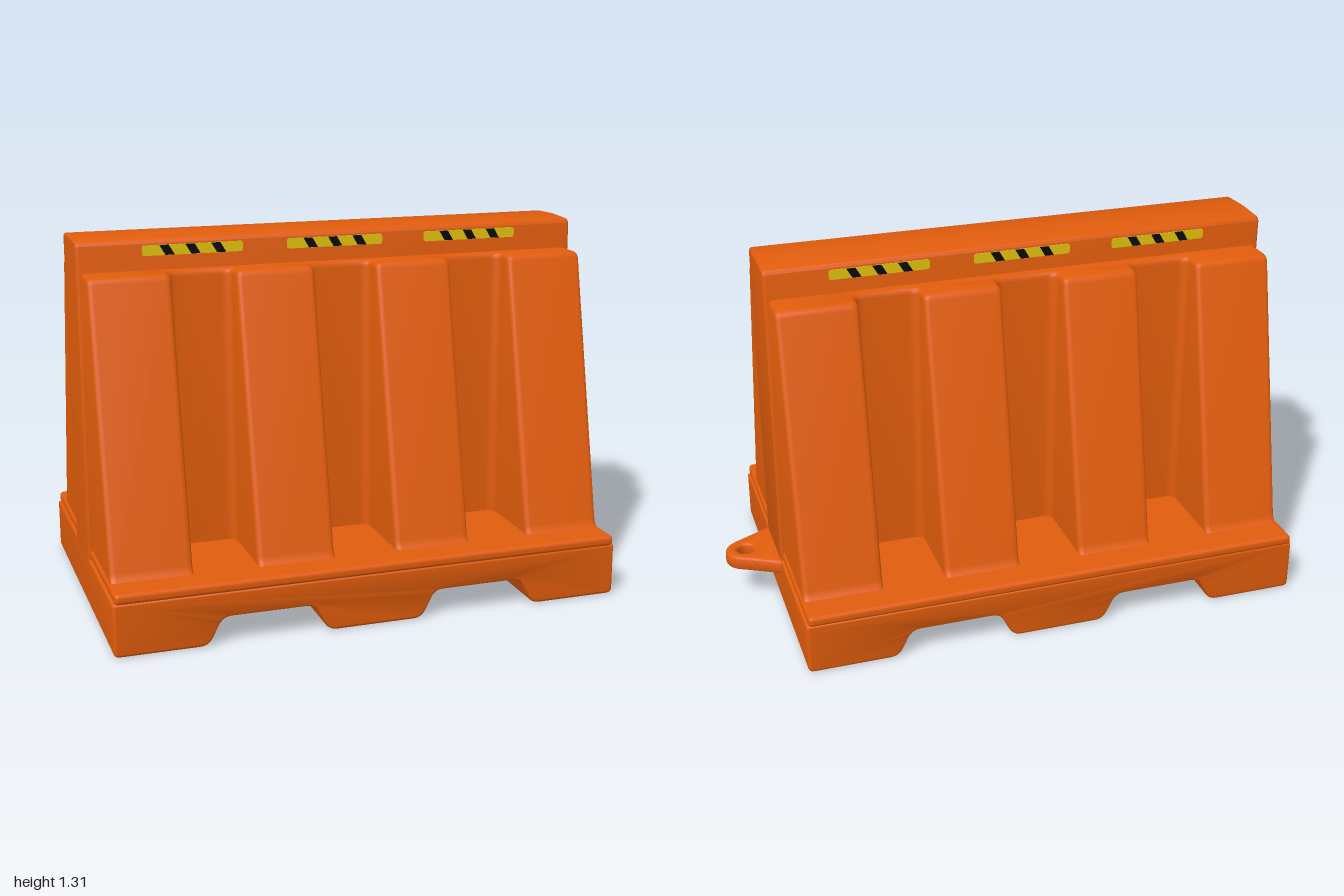
import * as THREE from 'three';
import { toCreasedNormals } from 'three/addons/utils/BufferGeometryUtils.js';
import { RoundedBoxGeometry } from 'three/addons/geometries/RoundedBoxGeometry.js';

const orange = new THREE.MeshStandardMaterial({ name: 'orange plastic', color: 0xe05c0c });
const yellow = new THREE.MeshStandardMaterial({ name: 'yellow tape', color: 0xe2c40e });
const black = new THREE.MeshStandardMaterial({ name: 'black tape', color: 0x0a0a0a });

function mesh(name, geometry, material) {
  const m = new THREE.Mesh(geometry, material);
  m.name = name;
  return m;
}

function polygon(points) {
  return new THREE.Shape(points.map(([x, y]) => new THREE.Vector2(x, y)));
}

// Extrusion centred on its depth, with rounded edges kept inside the outline
function softExtrude(shape, depth, bevel) {
  const g = new THREE.ExtrudeGeometry(shape, {
    depth: depth - 2 * bevel, bevelEnabled: true, bevelSize: bevel, bevelThickness: bevel,
    bevelOffset: -bevel, bevelSegments: 4, curveSegments: 20,
  });
  g.translate(0, 0, -depth / 2 + bevel);
  return toCreasedNormals(g, 0.6);
}

// Replaces each corner [x, y, radius] of a closed outline with a curve
function roundCorners(corners, steps = 6) {
  const out = [];
  corners.forEach(([x, y, r], i) => {
    const p = new THREE.Vector2(x, y);
    const toward = (c) => new THREE.Vector2(c[0], c[1]).sub(p).setLength(r).add(p);
    const curve = new THREE.QuadraticBezierCurve(
      toward(corners[(i + corners.length - 1) % corners.length]), p,
      toward(corners[(i + 1) % corners.length]));
    out.push(...curve.getPoints(steps));
  });
  return out;
}

// Horizontal section of the ribbed body: four ribs and three grooves per side
function bodySection(ribZ, inset) {
  const end = 0.895 - inset, floor = 0.17 - inset, half = 0.112 + inset;
  const front = [[-end, ribZ, 0.02]];
  for (const c of [-0.5, 0, 0.5]) {
    front.push([c - half, ribZ, 0.02], [c - half, floor, 0.035],
      [c + half, floor, 0.035], [c + half, ribZ, 0.02]);
  }
  front.push([end, ribZ, 0.02]);
  return roundCorners([...front, ...front.map(([x, z, r]) => [-x, -z, r])]);
}

function ribbedBody() {
  // height, rib reach, inset
  const levels = [[0.2, 0.5, 0], [0.222, 0.476, 0], [0.232, 0.466, 0], [0.25, 0.459, 0],
    [1.18, 0.252, 0], [1.191, 0.246, 0.002], [1.197, 0.24, 0.006], [1.2, 0.232, 0.012]];
  const sections = levels.map(([, reach, inset]) => bodySection(reach, inset));
  const n = sections[0].length, pos = [], index = [];
  sections.forEach((s, k) => s.forEach((p) => pos.push(p.x, levels[k][0], p.y)));
  for (let k = 0; k < levels.length - 1; k++) {
    for (let i = 0; i < n; i++) {
      const a = k * n + i, b = k * n + (i + 1) % n;
      index.push(a, b, b + n, a, b + n, a + n);
    }
  }
  // top cap
  const last = sections[sections.length - 1].map((p) => new THREE.Vector2(p.x, -p.y));
  const start = (levels.length - 1) * n;
  for (const [a, b, c] of THREE.ShapeUtils.triangulateShape(last, [])) {
    index.push(start + a, start + b, start + c);
  }
  const g = new THREE.BufferGeometry();
  g.setAttribute('position', new THREE.Float32BufferAttribute(pos, 3));
  g.setIndex(index);
  return toCreasedNormals(g, 0.6);
}

// Base block with two forklift tunnels running front to back
function base() {
  const corners = [[-0.91, 0.187, 0.008], [-0.91, 0, 0.02]];
  for (const c of [-0.38, 0.38]) {
    corners.push([c - 0.21, 0, 0.03], [c - 0.16, 0.097, 0.03],
      [c + 0.16, 0.097, 0.03], [c + 0.21, 0, 0.03]);
  }
  corners.push([0.91, 0, 0.02], [0.91, 0.187, 0.008]);
  return softExtrude(new THREE.Shape(roundCorners(corners)), 1.154, 0.012);
}

// Central wall with softened top edges
function spine() {
  const outline = roundCorners([[-0.13, 0.14, 0.01], [0.13, 0.14, 0.01], [0.13, 1.29, 0.004],
    [0.12, 1.305, 0.008], [0, 1.31, 0.02], [-0.12, 1.305, 0.008], [-0.13, 1.29, 0.004]]);
  return softExtrude(new THREE.Shape(outline), 1.82, 0.01).rotateY(Math.PI / 2);
}

// Coupling lug with a pin hole
function lug() {
  const s = new THREE.Shape();
  s.moveTo(0.88, -0.135);
  s.lineTo(0.915, -0.135);
  s.quadraticCurveTo(0.945, -0.115, 1.05, -0.064);
  s.absarc(1.022, 0, 0.068, -1.15, 1.15, false);
  s.quadraticCurveTo(0.945, 0.115, 0.915, 0.135);
  s.lineTo(0.88, 0.135);
  s.closePath();
  const hole = new THREE.Path();
  hole.absarc(1.017, 0, 0.03, 0, Math.PI * 2, true);
  s.holes.push(hole);
  return softExtrude(s, 0.054, 0.014).rotateX(-Math.PI / 2);
}

// Yellow strip with three slanted black bars
function tape() {
  const g = new THREE.Group();
  g.name = 'warningTape';
  const strip = roundCorners([[-0.176, -0.018, 0.01], [0.176, -0.018, 0.01],
    [0.176, 0.018, 0.01], [-0.176, 0.018, 0.01]], 4);
  const flat = (shape, depth) => new THREE.ExtrudeGeometry(shape, { depth, bevelEnabled: false });
  g.add(mesh('tapeStrip', flat(new THREE.Shape(strip), 0.003), yellow));
  for (const x of [-0.09, 0, 0.09]) {
    const bar = polygon([[x - 0.006, -0.017], [x + 0.026, -0.017], [x + 0.006, 0.017], [x - 0.026, 0.017]]);
    g.add(mesh('tapeBar', flat(bar, 0.005), black));
  }
  return g;
}

export function createModel() {
  const model = new THREE.Group();
  model.name = 'roadBarrier';
  const barrier = new THREE.Group();
  barrier.name = 'barrier';
  barrier.position.x = -0.09;
  model.add(barrier);

  const lip = mesh('baseLip', new RoundedBoxGeometry(1.806, 0.038, 1.166, 4, 0.015), orange);
  lip.position.y = 0.203;
  const coupling = mesh('couplingLug', lug(), orange);
  coupling.position.set(0.068, 0.16, 0);
  // the lug reaches the full length of the model at its tip
  coupling.position.x = 0;
  barrier.add(mesh('base', base(), orange), lip, mesh('ribbedBody', ribbedBody(), orange),
    mesh('spine', spine(), orange), coupling);

  // Tapes along the top of both faces
  for (const turn of [0, Math.PI]) {
    const side = new THREE.Group();
    side.name = turn ? 'backTapes' : 'frontTapes';
    side.rotation.y = turn;
    for (const x of [-0.51, 0, 0.51]) {
      const t = tape();
      t.position.set(x, 1.267, 0.1295);
      side.add(t);
    }
    barrier.add(side);
  }
  return model;
}
